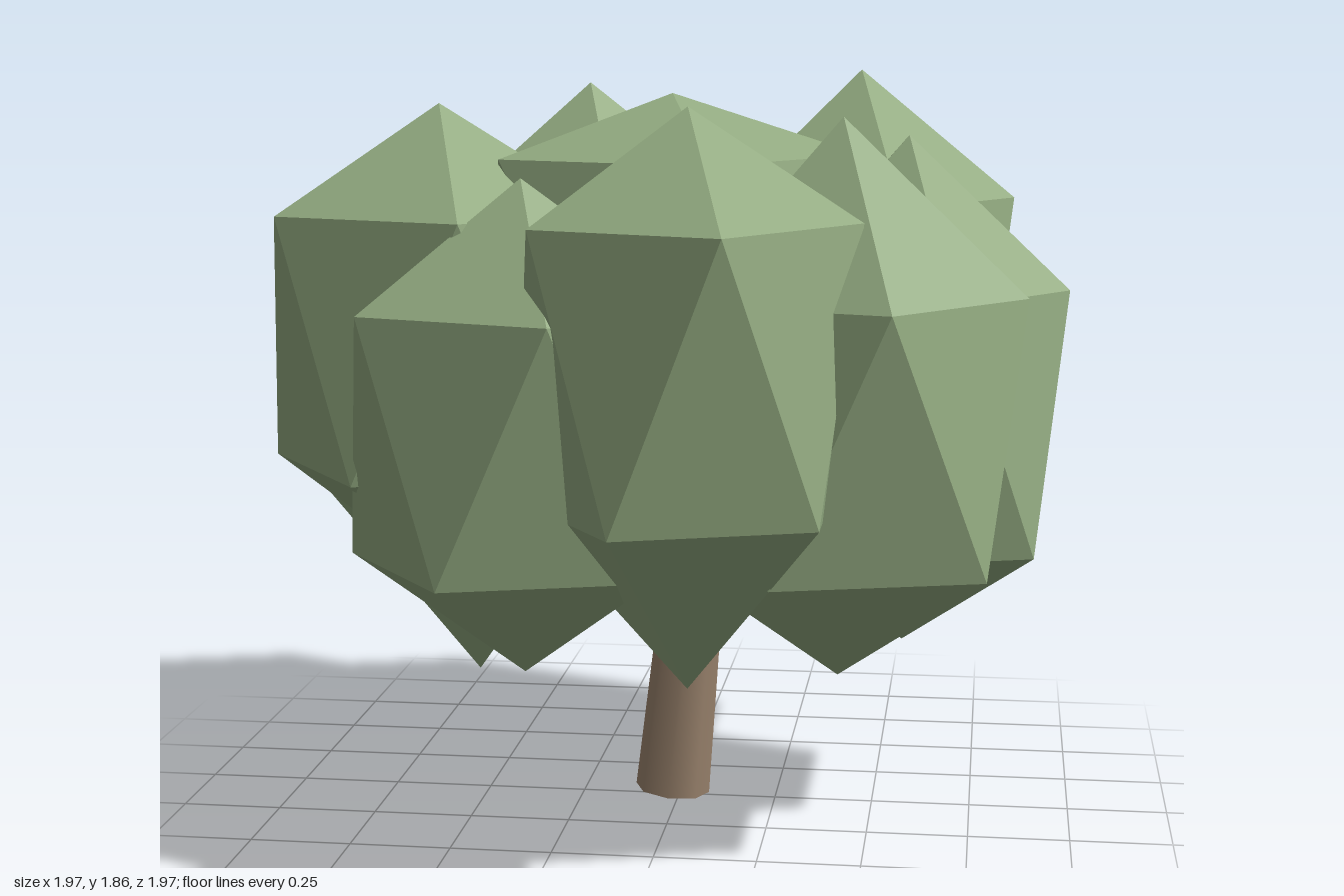
import * as THREE from 'three';

const leafGreen = new THREE.MeshStandardMaterial({ color: 0x93ab81 });
const barkBrown = new THREE.MeshStandardMaterial({ color: 0x9a836d });
leafGreen.name = 'leafGreen';
barkBrown.name = 'barkBrown';

// Twelve-point faceted clump: top point, two staggered rings of five, bottom point
function clumpGeometry(sx, sz, top, upper, lower, bottom) {
  const points = [0, top, 0];
  for (const [y, offset] of [[upper, 0], [lower, 0.5]]) {
    for (let i = 0; i < 5; i++) {
      const a = (i + offset) * Math.PI * 0.4;
      points.push(sx * 0.894 * Math.cos(a), y, sz * 0.894 * Math.sin(a));
    }
  }
  points.push(0, bottom, 0);

  const faces = [];
  for (let i = 0; i < 5; i++) {
    const j = (i + 1) % 5;
    const u0 = 1 + i, u1 = 1 + j, l0 = 6 + i, l1 = 6 + j;
    faces.push(0, u1, u0, u0, u1, l0, l0, u1, l1, 11, l0, l1);
  }
  const indexed = new THREE.BufferGeometry();
  indexed.setAttribute('position', new THREE.Float32BufferAttribute(points, 3));
  indexed.setIndex(faces);
  const geometry = indexed.toNonIndexed();
  geometry.computeVertexNormals();
  return geometry;
}

// x, z, width scale, depth scale, then heights: top, upper ring, lower ring, bottom
const clumps = {
  crownClump: [-0.02, -0.02, 0.53, 0.58, 1.81, 1.66, 1.25, 1.05],
  frontClump: [0.09, 0.56, 0.45, 0.5, 1.8, 1.54, 0.88, 0.44],
  rightClump: [-0.57, 0.18, 0.48, 0.49, 1.79, 1.53, 0.91, 0.6],
  backRightClump: [-0.31, -0.53, 0.46, 0.46, 1.82, 1.5, 0.92, 0.55],
  backLeftClump: [0.43, -0.4, 0.45, 0.51, 1.86, 1.53, 0.92, 0.51],
  frontLeftClump: [0.43, 0.35, 0.49, 0.45, 1.77, 1.35, 0.72, 0.43],
  leftClump: [0.57, -0.02, 0.45, 0.46, 1.71, 1.33, 0.7, 0.43],
  frontRightClump: [-0.31, 0.49, 0.47, 0.46, 1.63, 1.33, 0.73, 0.45],
  lowRightClump: [-0.57, -0.22, 0.45, 0.47, 1.6, 1.31, 0.73, 0.26],
  lowBackClump: [0.09, -0.6, 0.45, 0.45, 1.65, 1.32, 0.71, 0.36],
};

export function createModel() {
  const tree = new THREE.Group();
  tree.name = 'tree';

  // Leaning, tapered trunk
  const length = 1.25;
  const trunkGeometry = new THREE.CylinderGeometry(0.06, 0.096, length, 8);
  trunkGeometry.translate(0, length / 2, 0);
  const trunk = new THREE.Mesh(trunkGeometry, barkBrown);
  trunk.name = 'trunk';
  trunk.position.set(-0.02, 0.01, -0.02);
  trunk.rotation.z = -0.095;
  tree.add(trunk);

  // Foliage
  const foliage = new THREE.Group();
  foliage.name = 'foliage';
  for (const [name, [x, z, ...shape]] of Object.entries(clumps)) {
    const clump = new THREE.Mesh(clumpGeometry(...shape), leafGreen);
    clump.name = name;
    clump.position.set(x, 0, z);
    foliage.add(clump);
  }
  tree.add(foliage);
  return tree;
}
